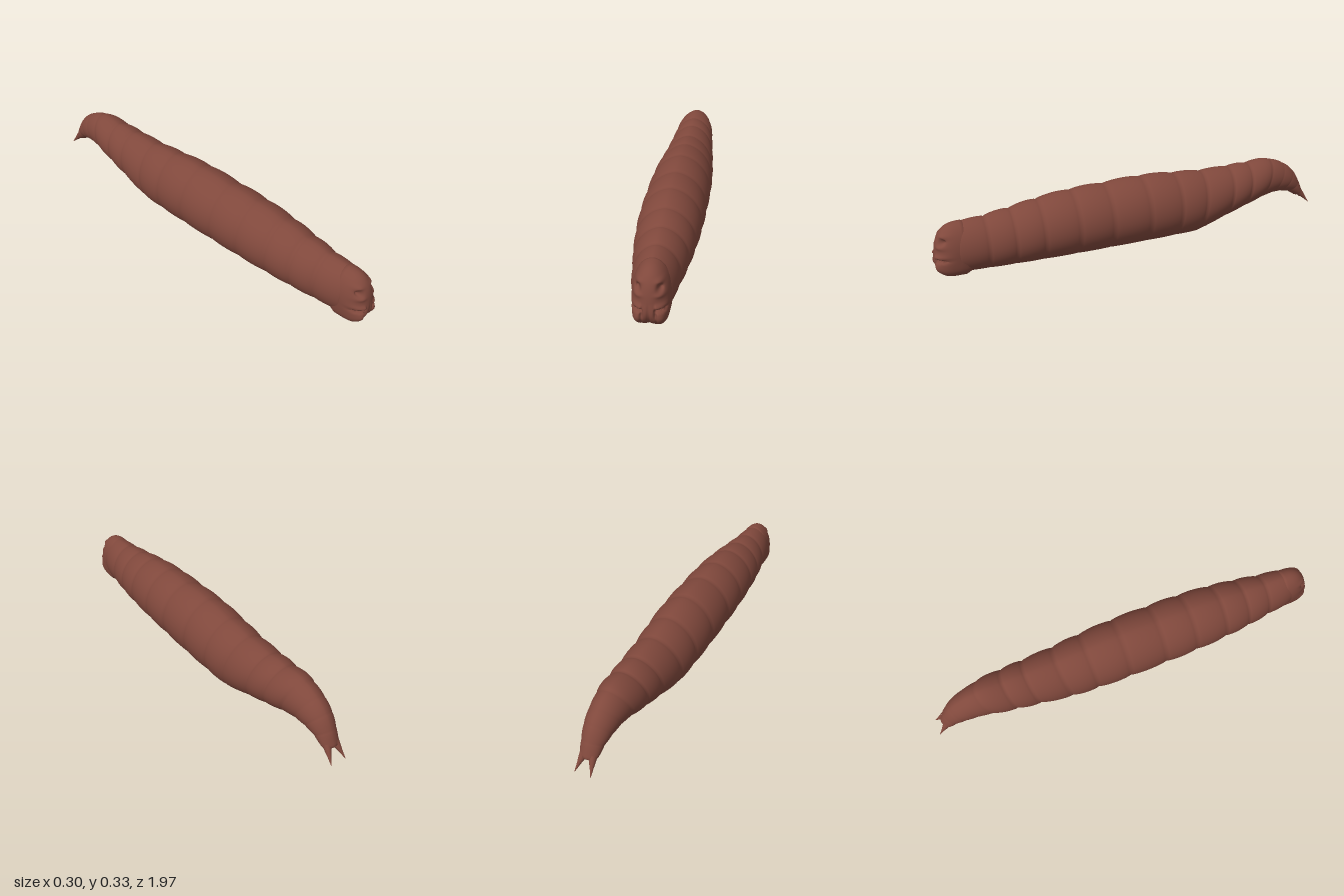
import * as THREE from 'three';

const lerp = THREE.MathUtils.lerp;
const bump = (d, s) => Math.exp(-(d * d) / (s * s));

// Skin closed rings of points running from +z to -z, counter-clockwise seen from +z; both ends are capped
function loft(rings) {
  const n = rings[0].length, pos = [], index = [];
  rings.forEach(r => r.forEach(p => pos.push(...p)));
  for (let i = 0; i < rings.length - 1; i++) {
    for (let j = 0; j < n; j++) {
      const a = i * n + j, b = i * n + (j + 1) % n;
      index.push(a, a + n, b, b, a + n, b + n);
    }
  }
  [0, rings.length - 1].forEach((ri, end) => {
    const c = pos.length / 3, mid = [0, 0, 0];
    rings[ri].forEach(p => p.forEach((v, k) => { mid[k] += v / n; }));
    pos.push(...mid);
    for (let j = 0; j < n; j++) {
      const a = ri * n + j, b = ri * n + (j + 1) % n;
      index.push(...(end ? [c, b, a] : [c, a, b]));
    }
  });
  const g = new THREE.BufferGeometry();
  g.setAttribute('position', new THREE.Float32BufferAttribute(pos, 3));
  g.setIndex(index);
  g.computeVertexNormals();
  return g;
}

// Creases between body segments: [back z, back y, belly z, belly y, half width]
const CREASES = [
  [0.89, 0.236, 0.89, 0.018, 0.074], [0.75, 0.25, 0.75, 0.015, 0.095],
  [0.63, 0.267, 0.63, 0.015, 0.113], [0.5, 0.29, 0.5, 0.015, 0.127],
  [0.335, 0.309, 0.335, 0.015, 0.137], [0.17, 0.316, 0.17, 0.015, 0.139],
  [-0.02, 0.324, -0.02, 0.015, 0.139], [-0.195, 0.315, -0.18, 0.015, 0.132],
  [-0.345, 0.305, -0.3, 0.015, 0.122], [-0.5, 0.306, -0.46, 0.065, 0.107],
  [-0.61, 0.31, -0.57, 0.098, 0.096], [-0.74, 0.314, -0.67, 0.127, 0.083],
  [-0.82, 0.285, -0.745, 0.142, 0.072], [-0.88, 0.24, -0.8, 0.142, 0.062],
  [-0.92, 0.18, -0.85, 0.132, 0.05], [-0.945, 0.125, -0.9, 0.1, 0.04]
];

function bodyGeometry() {
  const spans = CREASES.length - 1, steps = 14, sides = 72, rings = [];
  const back = new THREE.CatmullRomCurve3(CREASES.map(c => new THREE.Vector3(c[4], c[1], c[0])));
  for (let k = 0; k <= spans * steps; k++) {
    const i = Math.min(Math.floor(k / steps), spans - 1), f = k / steps - i;
    const top = back.getPoint(k / (spans * steps));
    const bz = lerp(CREASES[i][2], CREASES[i + 1][2], f);
    const by = lerp(CREASES[i][3], CREASES[i + 1][3], f);
    // each segment swells between its creases
    const swell = (i < 11 ? 0.009 : 0.002) * Math.pow(Math.max(0, Math.sin(Math.PI * f)), 0.6);
    const ring = [];
    for (let j = 0; j < sides; j++) {
      const a = (j / sides) * Math.PI * 2, c = Math.cos(a), s = Math.sin(a);
      // egg-shaped section with a flat sole
      const h = s > 0 ? 0.46 + 0.54 * s : 0.46 * (1 + Math.max(-1, s * 1.15));
      const x = Math.sign(c) * Math.pow(Math.abs(c), 1.15) * (top.x + swell);
      ring.push([x, lerp(by, top.y, h) + swell * Math.max(0, s), lerp(bz, top.z, h)]);
    }
    rings.push(ring);
  }
  // rounded tail end
  const last = rings[rings.length - 1];
  [[0.8, 0.008], [0.45, 0.013]].forEach(([k, d]) => {
    rings.push(last.map(([x, y, z]) => [x * k, lerp(0.112, y, k) - d * 0.7, lerp(-0.92, z, k) - d]));
  });
  return loft(rings);
}

// Relief of the face: eye hollows, brows, mouth slits, mandibles and the middle groove
function faceRelief(x, y) {
  const ax = Math.abs(x);
  const slit = THREE.MathUtils.smoothstep(ax, 0.02, 0.032);
  let d = -0.022 * bump(ax - 0.043, 0.011) * bump(y - 0.176, 0.013);
  d += 0.01 * bump(ax - 0.046, 0.02) * bump(y - 0.202, 0.01);
  d += 0.007 * bump(ax - 0.046, 0.02) * bump(y - 0.152, 0.01);
  d -= 0.03 * slit * bump(y - 0.091, 0.0055);
  d += 0.008 * slit * bump(y - 0.106, 0.01);
  d -= 0.01 * bump(ax - 0.027, 0.006) * bump(y - 0.075, 0.02);
  d += 0.01 * bump(ax - 0.05, 0.022) * bump(y - 0.05, 0.03);
  d -= 0.007 * bump(x, 0.005) * bump(y - 0.045, 0.045);
  d -= 0.006 * bump(ax - 0.03, 0.005) * bump(y - 0.03, 0.025);
  return d;
}

function headGeometry() {
  const sides = 112, steps = 64, rings = [];
  for (let i = 1; i <= steps; i++) {
    const phi = (i / steps) * Math.PI / 2, r = Math.sin(phi), front = Math.max(0, Math.cos(phi));
    const ring = [];
    for (let j = 0; j < sides; j++) {
      const a = (j / sides) * Math.PI * 2, c = Math.cos(a), s = Math.sin(a);
      // domed crown above, squarer jaw below
      const low = THREE.MathUtils.smoothstep(-s, -0.2, 0.6);
      const e = lerp(1, 0.6, low);
      const x = 0.078 * Math.sign(c) * Math.pow(Math.abs(c), e) * r;
      const sy = Math.sign(s) * Math.pow(Math.abs(s), e) * r;
      let y = 0.12 + sy * (s > 0 ? 0.13 : 0.118);
      if (s < 0) y += 0.006 * low * r * (bump(x, 0.02) - bump(Math.abs(x) - 0.05, 0.02) * 0.5);
      const dome = 0.855 + 0.128 * Math.pow(front, lerp(0.7, 0.35, low));
      const jaw = 0.012 * bump(y - 0.06, 0.05) * front;
      ring.push([x, y, dome + jaw + faceRelief(x, y) * Math.min(1, front * 1.6)]);
    }
    rings.push(ring);
  }
  // neck tucked into the body
  const rim = rings[rings.length - 1];
  rings.push(rim.map(([x, y]) => [x * 0.85, lerp(0.12, y, 0.86), 0.82]));
  return loft(rings);
}

export function createModel() {
  const group = new THREE.Group();
  const skin = new THREE.MeshStandardMaterial({ color: 0x80483c });
  skin.name = 'reddish brown skin';
  const add = (name, geometry) => {
    const mesh = new THREE.Mesh(geometry, skin);
    mesh.name = name;
    group.add(mesh);
    return mesh;
  };

  add('segmentedBody', bodyGeometry());
  add('head', headGeometry());

  // forked tail spikes
  const profile = [[0.019, 0], [0.014, 0.025], [0.008, 0.05], [0.004, 0.072], [0, 0.092]]
    .map(p => new THREE.Vector2(...p));
  for (const side of [1, -1]) {
    const spike = add(side > 0 ? 'leftTailSpike' : 'rightTailSpike', new THREE.LatheGeometry(profile, 16));
    const base = new THREE.Vector3(side * 0.021, 0.119, -0.922);
    const tip = new THREE.Vector3(side * 0.039, 0.05, -0.982);
    spike.position.copy(base);
    spike.quaternion.setFromUnitVectors(new THREE.Vector3(0, 1, 0), tip.sub(base).normalize());
  }
  return group;
}
